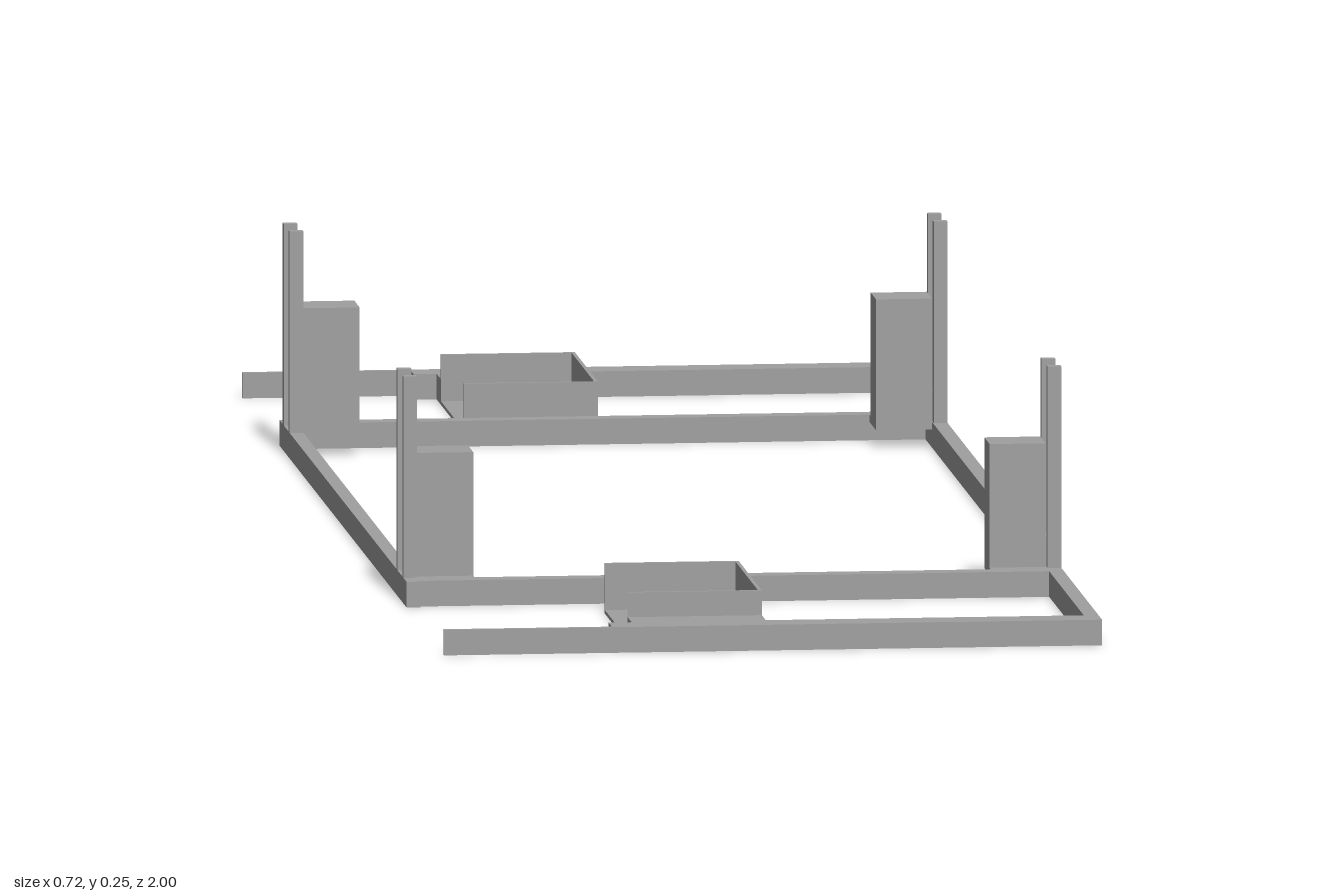
import * as THREE from 'three';

export function createModel() {
  const model = new THREE.Group();
  model.name = 'floorFrame';
  const grey = new THREE.MeshStandardMaterial({ color: 0xa0a0a0 });
  grey.name = 'plain grey';

  const H = 0.028; // rail height

  // Box given by its minimum and maximum on each axis
  function box(parent, name, x0, x1, y0, y1, z0, z1) {
    const mesh = new THREE.Mesh(new THREE.BoxGeometry(x1 - x0, y1 - y0, Math.abs(z1 - z0)), grey);
    mesh.position.set((x0 + x1) / 2, (y0 + y1) / 2, (z0 + z1) / 2);
    mesh.name = name;
    parent.add(mesh);
  }

  // Long side rails: the left one runs the full length
  box(model, 'leftRail', 0.342, 0.358, 0, H, -1, 1);
  box(model, 'rightRail', -0.358, -0.343, 0, H, -0.628, 0.628);

  for (const s of [1, -1]) {
    const end = new THREE.Group();
    end.name = s > 0 ? 'frontEnd' : 'backEnd';
    model.add(end);

    // Cross beam, end beam and its thin extension
    box(end, 'crossBeam', -0.343, 0.342, 0, H, s * 0.6, s * 0.622);
    box(end, 'endBeam', -0.175, 0.342, 0, H, s * 0.964, s);
    box(end, 'endStrip', -0.358, -0.175, 0, H, s * 0.995, s);

    // Open tray: floor, three walls and the mount joining it to the end beam
    const tray = new THREE.Group();
    tray.name = 'tray';
    end.add(tray);
    const T = 0.055, w = 0.004;
    box(tray, 'trayFloor', -0.15, -0.004, 0, w, s * 0.695, s * 0.925);
    box(tray, 'traySideWall', -0.004 - w, -0.004, w, T, s * 0.695, s * 0.925);
    box(tray, 'trayInnerWall', -0.15, -0.004 - w, w, T, s * 0.695, s * (0.695 + w));
    box(tray, 'trayOuterWall', -0.15, -0.004 - w, w, T, s * (0.925 - w), s * 0.925);
    box(tray, 'trayMount', -0.15, -0.004, 0, H, s * 0.925, s * 0.964);

    // Corner blocks, each with a pair of slim uprights and a low bracket
    for (const m of [1, -1]) {
      const corner = new THREE.Group();
      corner.name = m > 0 ? 'leftCorner' : 'rightCorner';
      end.add(corner);
      const part = (name, a, b, y0, y1, z0, z1) =>
        box(corner, name, Math.min(m * a, m * b), Math.max(m * a, m * b), y0, y1, s * z0, s * z1);
      part('cornerBlock', 0.281, 0.342, H, 0.163, 0.535, 0.588);
      part('outerUpright', 0.343, 0.358, H, 0.248, 0.586, 0.597);
      part('innerUpright', 0.343, 0.358, H, 0.248, 0.528, 0.539);
      part('bracket', 0.342, 0.352, H, 0.06, 0.542, 0.583);
    }
    // Short seat joining the right blocks to the cross beam corner
    box(end, 'blockSeat', -0.343, -0.281, 0.02, H, s * 0.535, s * 0.6);
    box(end, 'blockSeat', 0.281, 0.342, 0.02, H, s * 0.535, s * 0.6);
  }
  return model;
}
